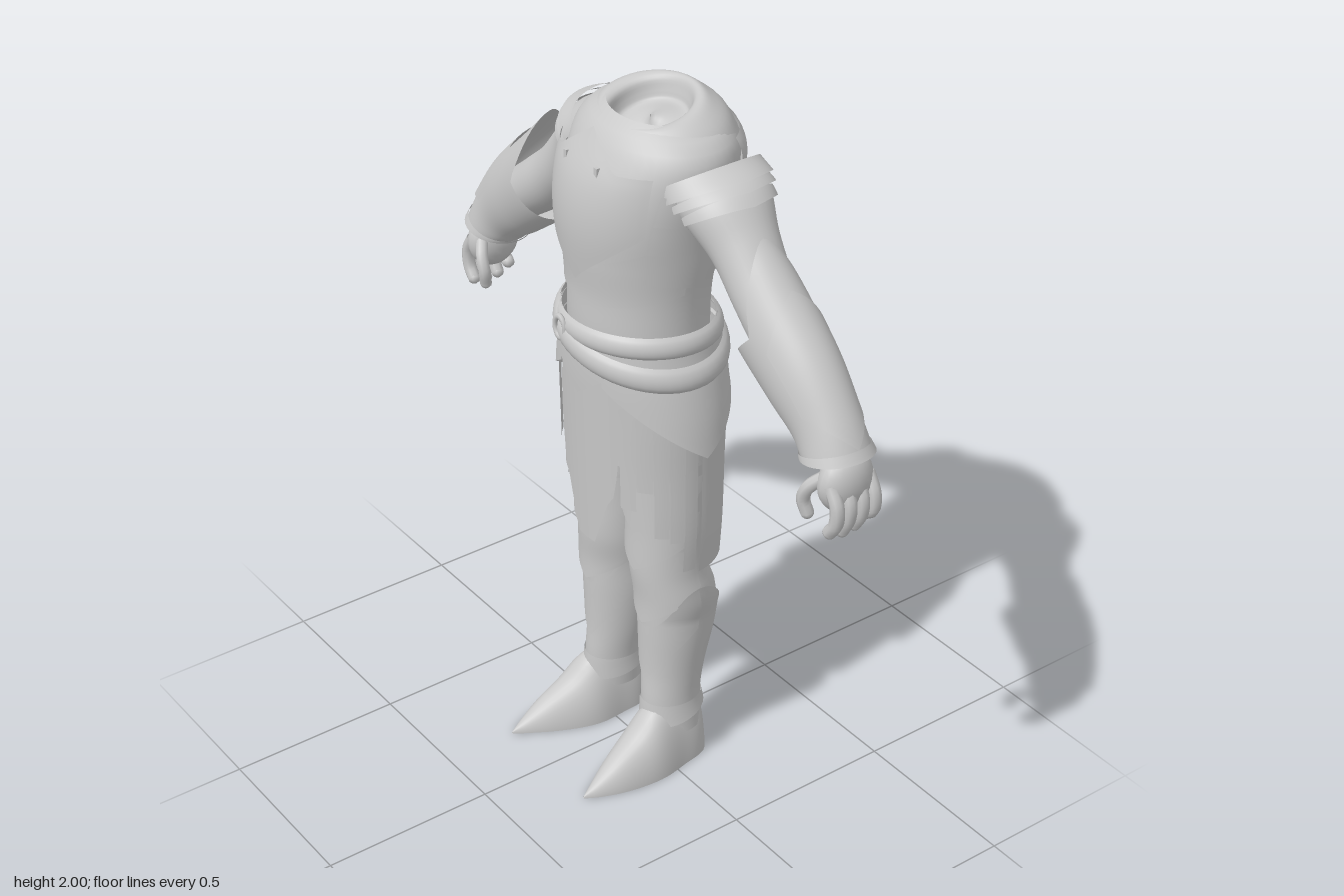
import * as THREE from 'three';
import { mergeVertices } from 'three/addons/utils/BufferGeometryUtils.js';

const PI = Math.PI, H = PI / 2, abs = Math.abs;
const steel = new THREE.MeshStandardMaterial({ color: 0xc8c8c8, side: THREE.DoubleSide });
steel.name = 'steel grey';

// Smooth grid surface from a rule f(u, v) -> [x, y, z]; u runs right and v down as seen from outside, s = -1 if mirrored
function surface(name, f, nu, nv, s = 1) {
  const p = [], idx = [];
  for (let j = 0; j <= nv; j++) for (let i = 0; i <= nu; i++) {
    const [x, y, z] = f(i / nu, j / nv);
    p.push(s * x, y, z);
  }
  for (let j = 0; j < nv; j++) for (let i = 0; i < nu; i++) {
    const a = j * (nu + 1) + i, b = a + 1, c = a + nu + 1, d = c + 1;
    if (s > 0) idx.push(a, d, b, a, c, d);
    else idx.push(a, b, d, a, d, c);
  }
  let g = new THREE.BufferGeometry();
  g.setAttribute('position', new THREE.Float32BufferAttribute(p, 3));
  g.setIndex(idx);
  g = mergeVertices(g, 1e-5);
  g.computeVertexNormals();
  const m = new THREE.Mesh(g, steel);
  m.name = name;
  return m;
}

// Smooth interpolation of rows whose first entry is an ascending key
function sample(rows, k) {
  const n = rows.length;
  k = Math.min(Math.max(k, rows[0][0]), rows[n - 1][0]);
  let i = 0;
  while (i < n - 2 && k > rows[i + 1][0]) i++;
  const A = rows[i], B = rows[i + 1], P = rows[Math.max(i - 1, 0)], N = rows[Math.min(i + 2, n - 1)];
  const h = B[0] - A[0], t = (k - A[0]) / h, t2 = t * t, t3 = t2 * t;
  return A.map((a, c) => {
    const m0 = (B[c] - P[c]) / (B[0] - P[0]) * h, m1 = (N[c] - A[c]) / (N[0] - A[0]) * h;
    return (2 * t3 - 3 * t2 + 1) * a + (t3 - 2 * t2 + t) * m0 + (3 * t2 - 2 * t3) * B[c] + (t3 - t2) * m1;
  });
}

// Upright rows: y, centre x, centre z, radius x, radius z -> key, x, y, z, ru, rw, tilt
const upright = rows => rows.map(([y, x, z, rx, rz]) => [y, x, y, z, rx, rz, 0]);
const val = (f, ...a) => typeof f === 'function' ? f(...a) : f;

// Plate that follows a limb or body profile; angle 0 faces front, H faces outward
function plate(name, rows, { a0 = -PI, a1 = PI, top, bot, off = 0, s = 1, nu = 32, nv = 12 }) {
  return surface(name, (u, v) => {
    const a = a0 + (a1 - a0) * u, t = val(top, a), k = t + (val(bot, a) - t) * v;
    const [, x, y, z, ru, rw, tilt] = sample(rows, k), o = val(off, a, k, v);
    const d = (ru + o) * Math.sin(a);
    return [x + d * Math.cos(tilt), y + d * Math.sin(tilt), z + (rw + o) * Math.cos(a)];
  }, nu, nv, s);
}

const TORSO = upright([[1.22, 0, -.04, .21, .17], [1.38, 0, -.03, .2, .18], [1.5, 0, -.035, .198, .185],
  [1.6, 0, -.047, .208, .205], [1.7, 0, -.05, .22, .21], [1.8, 0, -.07, .238, .21], [1.88, 0, -.085, .245, .188],
  [1.93, 0, -.09, .21, .16], [1.96, 0, -.09, .15, .12]]);
const CHEST = upright([[1.52, 0, -.04, .2, .2], [1.7, 0, -.04, .225, .218], [1.83, 0, -.05, .23, .21], [1.95, 0, -.06, .22, .16]]);
const SKIRT = upright([[.65, 0, -.045, .24, .185], [.8, 0, -.045, .25, .19], [1, 0, -.045, .25, .195],
  [1.15, 0, -.045, .25, .2], [1.25, 0, -.04, .24, .2], [1.33, 0, -.035, .225, .195], [1.42, 0, -.03, .208, .185]]);
const LEG = upright([[.1, .14, -.05, .07, .085], [.2, .135, -.045, .068, .083], [.3, .13, -.055, .076, .088],
  [.45, .13, -.07, .092, .105], [.55, .13, -.07, .098, .108], [.65, .12, -.05, .096, .1], [.8, .12, -.045, .1, .1], [1.1, .12, -.045, .105, .12]]);
const ARM = [[0, .18, 1.83, -.11, .1, .13, .6], [1, .26, 1.775, -.11, .1, .125, .7], [2, .345, 1.695, -.105, .083, .095, .75],
  [3, .43, 1.6, -.1, .078, .085, .75], [4, .52, 1.52, -.095, .08, .08, .75], [5, .66, 1.41, -.09, .07, .07, .8], [6, .75, 1.29, -.09, .06, .065, .4]];
const FOREARM = [[-1, .4, 1.65, -.075, .13, .085, 1.2], [0, .475, 1.57, -.08, .128, .1, 1.04], [1, .605, 1.46, -.083, .117, .095, .98],
  [2, .695, 1.37, -.085, .096, .085, .67], [3, .745, 1.3, -.087, .088, .09, .23]];

function buildTorso() {
  const g = new THREE.Group();
  g.name = 'torso';
  g.add(plate('bodyShell', TORSO, { top: 1.96, bot: 1.25, nu: 48, nv: 28 }));
  g.add(plate('breastplate', CHEST, { a0: -.95, a1: .95, off: .008,
    top: a => 1.95 - .085 * Math.min(1, abs(a) / .5), bot: a => 1.54 + .17 * (abs(a) / .95) ** .9 }));
  g.add(plate('backplate', TORSO, { a0: PI - 1.1, a1: PI + 1.1, off: .016, top: 1.92, bot: a => 1.62 + .19 * abs(a - PI) / 1.1 }));
  g.add(plate('abdomenLame', TORSO, { a0: -1.5, a1: 1.5, off: .008, top: a => 1.58 + .08 * abs(a), bot: a => 1.47 + .05 * abs(a) / 1.5 }));
  // Collar: from the closed neck stump up over the rim and down onto the shoulders
  const ring = [[.0005, 1.905, -.065, .0005], [.05, 1.905, -.065, .05], [.092, 1.908, -.065, .092], [.104, 1.93, -.065, .102],
    [.112, 1.962, -.067, .11], [.14, 1.972, -.07, .122], [.172, 1.957, -.077, .138], [.205, 1.925, -.087, .165], [.235, 1.87, -.09, .19]]
    .map((r, i) => [i, ...r]);
  g.add(surface('collar', (u, v) => {
    const a = u * 2 * PI, [, rx, y, z, rz] = sample(ring, v * 8);
    return [rx * Math.sin(a), y - .028 * Math.cos(a), z + rz * Math.cos(a)];
  }, 40, 32));
  for (const s of [-1, 1]) {
    const pin = new THREE.Mesh(new THREE.BoxGeometry(.012, .025, .02), steel);
    pin.name = 'breastplatePin';
    pin.position.set(s * .065, 1.86, .142);
    g.add(pin);
    for (let i = 0; i < 3; i++) g.add(plate('ribLame', TORSO, { s, a0: .95, a1: 2.2, off: .008 + .003 * i, nv: 4,
      top: a => 1.8 - i * .08 - .03 * (a - H), bot: a => 1.7 - i * .08 + .05 * abs(a - H) }));
  }
  return g;
}

function buildWaist() {
  const g = new THREE.Group();
  g.name = 'waistAndSkirt';
  g.add(plate('hips', SKIRT, { top: 1.42, bot: 1, off: -.02 }));
  const belt = (name, mid, w, o) => g.add(plate(name, SKIRT, { top: a => mid(a) + w, bot: a => mid(a) - w, nu: 48, nv: 8,
    off: (a, k, v) => o + .014 * Math.sin(PI * v) ** .6 }));
  belt('upperBelt', a => 1.368 + .012 * Math.sin(a) + .01 * Math.cos(a), .03, .006);
  belt('slantedBelt', a => 1.335 - .042 * Math.sin(a), .034, .012);
  const ring = new THREE.Mesh(new THREE.TorusGeometry(.022, .007, 8, 20), steel);
  ring.name = 'beltRing';
  ring.scale.y = 1.4;
  ring.position.set(-.07, 1.365, .172);
  g.add(ring);
  g.add(plate('frontTab', SKIRT, { a0: -.55, a1: .55, off: .01, top: 1.36, bot: a => 1.2 + .1 * abs(a) / .55 }));
  g.add(plate('backTab', SKIRT, { a0: PI - .9, a1: PI + .9, off: .012, top: 1.36, bot: a => 1.12 + .12 * abs(a - PI) / .9 }));
  // Long front apron narrowing to its lower end
  g.add(surface('apron', (u, v) => {
    const y = 1.32 - .59 * v, w = y > .9 ? .085 + .04 * Math.sin(PI * (1.32 - y) / .5) : .095 - .36 * (.9 - y);
    const x = (2 * u - 1) * w;
    return [x, y, .162 - .02 * v - 1.6 * x * x];
  }, 16, 20));
  for (const s of [-1, 1]) {
    g.add(plate('hipTasset', SKIRT, { s, a0: H - 1.2, a1: H + 1.2, top: 1.4, bot: a => 1.06 + .19 * abs(a - H) / 1.2,
      off: (a, k) => .008 + .11 * Math.max(0, 1.3 - k) * Math.sin(a) ** 2 }));
    // Hanging strips between the apron and the back skirt
    [[.62, .88], [.84, .95], [1.05, .8], [1.25, .79], [1.47, .68]].forEach(([a, end], i) =>
      g.add(plate('skirtStrip', SKIRT, { s, a0: a - .1, a1: a + .1, top: 1.25, bot: end, off: i % 2 * .01 - .005, nu: 4 })));
    g.add(plate('innerSkirt', SKIRT, { s, a0: .5, a1: 1.65, top: 1.25, bot: a => .98 - .17 * (a - .5), off: -.02 }));
    g.add(plate('sideSkirt', SKIRT, { s, a0: 1.6, a1: 2.2, top: 1.28, bot: .675, off: .006, nu: 12 }));
    g.add(plate('backSkirt', SKIRT, { s, a0: 2.1, a1: 3.1, top: 1.28, bot: .675, off: -.004, nu: 16 }));
  }
  return g;
}

function buildArm(s) {
  const g = new THREE.Group();
  g.name = s > 0 ? 'leftArm' : 'rightArm';
  g.add(plate('sleeve', ARM, { s, top: 0, bot: 6, nv: 36 }));
  // Overlapping shoulder lames
  [[0, .75, .018], [.6, 1.05, .012], [.95, 1.4, .006]].forEach(([t, b, o]) =>
    g.add(plate('pauldronLame', ARM, { s, a0: H - 1.7, a1: H + 1.7, top: t, bot: a => b - .25 * abs(a - H) / 1.7, off: (a, k, v) => o + .006 * v })));
  const away = a => Math.acos(Math.cos(a - H));
  g.add(plate('vambrace', FOREARM, { s, a0: -H, a1: 3 * H, nu: 48, nv: 20, bot: 3,
    top: a => away(a) < 1.4 ? -1 + 1.3 * (away(a) / 1.4) ** 1.5 : .3 - .3 * (away(a) - 1.4) / 1.74 }));
  g.add(plate('elbowGuard', FOREARM, { s, a0: H - 1.2, a1: H + 1.2, off: .006, top: a => .1 + .45 * away(a), bot: a => 2.75 - .8 * away(a) }));
  g.add(plate('cuffBand', FOREARM, { s, top: 2.75, bot: 3, off: (a, k, v) => .003 + .004 * v, nv: 3 }));
  const palm = new THREE.Mesh(new THREE.SphereGeometry(1, 20, 14), steel);
  palm.name = 'palm';
  palm.scale.set(.052, .085, .08);
  palm.position.set(s * .777, 1.24, -.088);
  g.add(palm);
  const finger = (name, pts, r) => {
    const path = new THREE.CatmullRomCurve3(pts.map(([x, y, z]) => new THREE.Vector3(s * x, y, z)));
    const m = new THREE.Mesh(new THREE.TubeGeometry(path, 12, r, 8), steel), tip = new THREE.Mesh(new THREE.SphereGeometry(r, 8, 6), steel);
    m.name = name;
    tip.name = name + 'Tip';
    tip.position.copy(path.getPoint(1));
    g.add(m, tip);
  };
  [[-.03, 1.118], [-.07, 1.108], [-.11, 1.112], [-.148, 1.132]].forEach(([z, y]) =>
    finger('finger', [[.79, 1.25, z], [.818, 1.2, z], [.816, 1.15, z], [.795, y, z]], .019));
  finger('thumb', [[.76, 1.26, -.04], [.725, 1.22, -.015], [.71, 1.18, -.012], [.718, 1.14, -.02]], .018);
  return g;
}

function buildLeg(s) {
  const g = new THREE.Group();
  g.name = s > 0 ? 'leftLeg' : 'rightLeg';
  g.add(plate('trouserLeg', LEG, { s, top: 1.1, bot: .1, nv: 30 }));
  // Thigh and knee plates with pointed lower edges, each overlapping the next one down
  [[.98, .8, .02], [.86, .66, .016], [.74, .48, .012]].forEach(([t, b, o], i) =>
    g.add(plate(i < 2 ? 'thighLame' : 'kneeGuard', LEG, { s, a0: -1.7, a1: 1.7, top: t, bot: a => b + .13 * abs(a) / 1.7,
      off: (a, k, v) => o + .008 * v * Math.cos(a * .9) })));
  // Greave rim rises into a wing on both sides of the knee
  const rim = a => .465 + .155 * abs(Math.sin(a)) ** 2.5;
  const flare = (a, k) => .005 + .24 * Math.max(0, k - .5) * Math.max(0, Math.sin(a));
  g.add(plate('greave', LEG, { s, top: rim, bot: .16, off: flare, nu: 48, nv: 20 }));
  g.add(plate('shinPlate', LEG, { s, a0: -1.5, a1: 1.5, top: rim, bot: a => .27 + .2 * abs(a) / 1.5, off: (a, k) => .006 + flare(a, k) }));
  g.add(plate('ankleBand', LEG, { s, top: .205, bot: a => .15 - .02 * Math.cos(a), off: (a, k, v) => .008 + .006 * v, nv: 4 }));
  // Boot lofted between heel and pointed toe: z, centre x, half width, height
  const rows = [[-.137, .142, .002, .12], [-.13, .142, .04, .16], [-.1, .143, .062, .19], [-.03, .147, .072, .2], [.04, .152, .08, .185],
    [.1, .158, .074, .13], [.18, .168, .052, .078], [.25, .175, .022, .03], [.287, .177, .002, .006]];
  g.add(surface('boot', (u, v) => {
    const t = u * 2 * PI, [z, x, w, h] = sample(rows, .287 - .424 * v), c = Math.cos(t);
    const y = Math.max(0, Math.sin(t)) * h;
    return [x + w * Math.sign(c) * abs(c) ** .85 * (1.1 - .15 * y / h), y, z];
  }, 32, 32, s));
  return g;
}

export function createModel() {
  const model = new THREE.Group();
  model.name = 'suitOfArmour';
  model.add(buildTorso(), buildWaist());
  for (const s of [-1, 1]) model.add(buildArm(s), buildLeg(s));
  return model;
}
